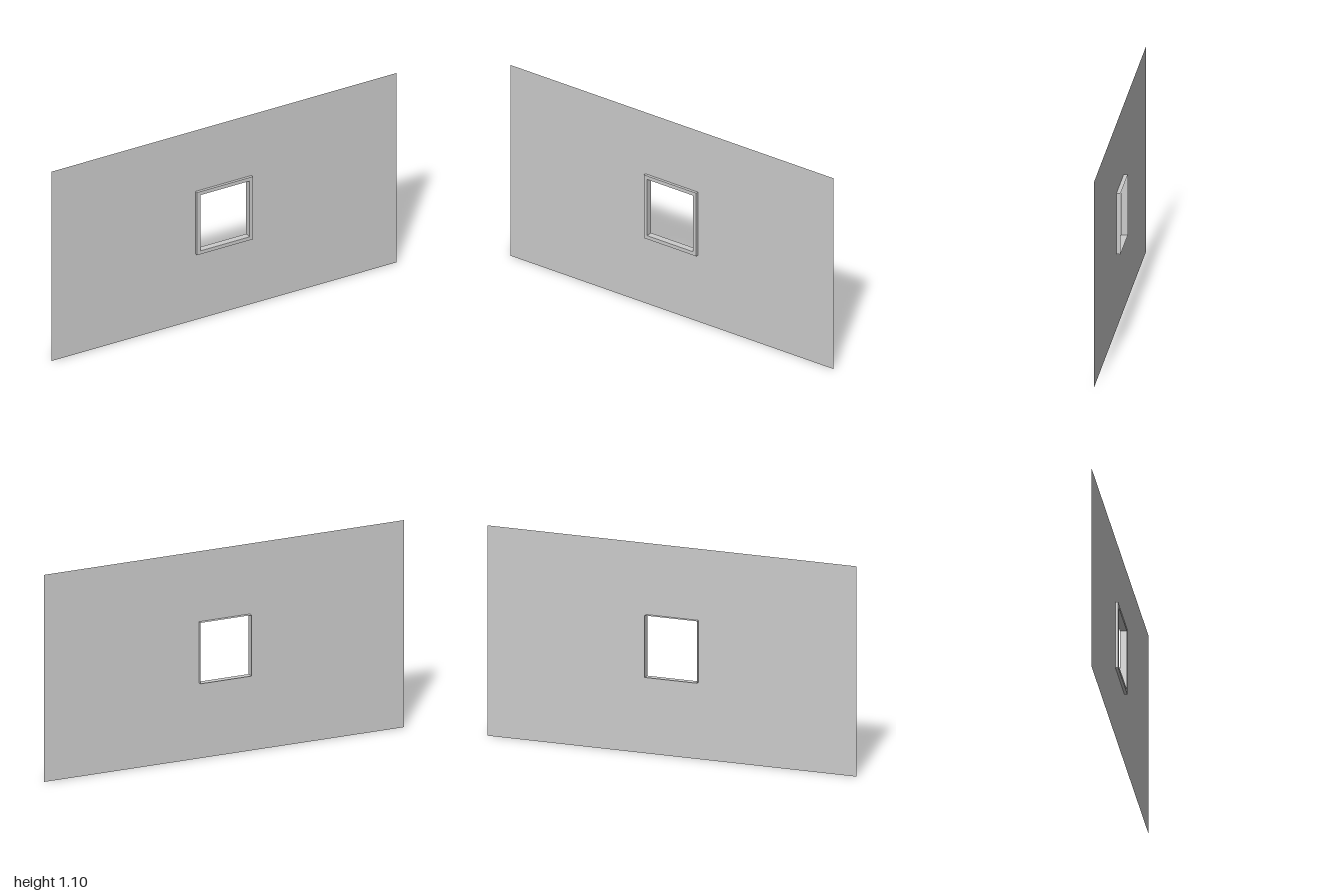
import * as THREE from 'three';

const CX = -0.002, CY = 0.564;      // centre of the opening
const OPEN_W = 0.284, OPEN_H = 0.324; // clear opening
const TRIM = 0.02;                  // width of the trim face
const WALL_Z = 0.003;

// Rectangle corners, counter-clockwise
function corners(cx, cy, w, h) {
  return [[-1, -1], [1, -1], [1, 1], [-1, 1]].map(
    ([sx, sy]) => new THREE.Vector2(cx + sx * w / 2, cy + sy * h / 2));
}

function rectWithHole(outer, inner) {
  const shape = new THREE.Shape(outer);
  shape.holes.push(new THREE.Path(inner.slice().reverse()));
  return shape;
}

export function createModel() {
  const group = new THREE.Group();
  const material = new THREE.MeshStandardMaterial({ color: 0xcccccc, side: THREE.DoubleSide });
  const add = (name, geometry, parent = group) => {
    const mesh = new THREE.Mesh(geometry, material);
    mesh.name = name;
    parent.add(mesh);
    return mesh;
  };

  const opening = corners(CX, CY, OPEN_W, OPEN_H);
  const trimOuter = corners(CX, CY, OPEN_W + 2 * TRIM, OPEN_H + 2 * TRIM);

  // Paper-thin wall, cut out to the outside of the trim
  const wall = add('wall', new THREE.ShapeGeometry(
    rectWithHole(corners(0, 0.55, 2, 1.1), trimOuter)));
  wall.position.z = WALL_Z;

  const frame = new THREE.Group();
  frame.name = 'windowFrame';
  group.add(frame);

  // Flat trim standing proud of the wall's front
  const trim = add('frameTrim', new THREE.ExtrudeGeometry(
    rectWithHole(trimOuter, opening), { depth: 0.0145, bevelEnabled: false }), frame);
  trim.position.z = WALL_Z;

  // Thin lining running back from the trim around the opening
  const depth = 0.0205, z = WALL_Z - depth / 2;
  for (const s of [-1, 1]) {
    const side = add(s < 0 ? 'liningRight' : 'liningLeft', new THREE.PlaneGeometry(depth, OPEN_H), frame);
    side.rotation.y = -s * Math.PI / 2;
    side.position.set(CX + s * OPEN_W / 2, CY, z);

    const rail = add(s < 0 ? 'liningBottom' : 'liningTop', new THREE.PlaneGeometry(OPEN_W, depth), frame);
    rail.rotation.x = s * Math.PI / 2;
    rail.position.set(CX, CY + s * OPEN_H / 2, z);
  }

  return group;
}
